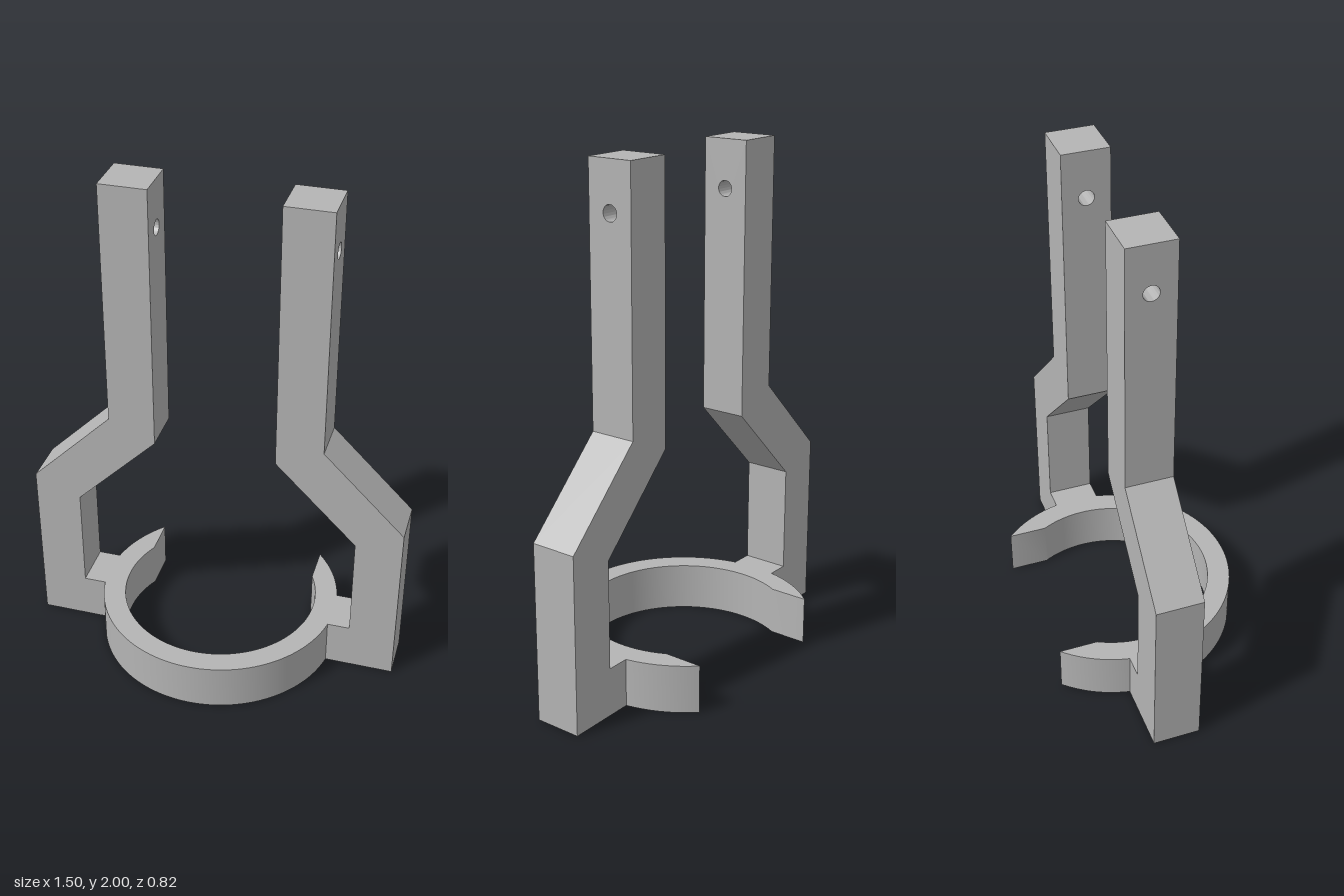
import * as THREE from 'three';
import { toCreasedNormals } from 'three/addons/utils/BufferGeometryUtils.js';

const RING_H = 0.19, OUTER = 0.485, INNER = 0.395, GAP = 0.35; // clamp ring
const ARM_W = 0.185, ARM_IN = 0.24, ARM_OUT = 0.425;           // fork arms
const CENTRE_Z = -0.075;

const extrude = (shape, depth) =>
  new THREE.ExtrudeGeometry(shape, { depth, bevelEnabled: false, curveSegments: 64 });

export function createModel() {
  const model = new THREE.Group();
  model.name = 'forkBracket';
  const grey = new THREE.MeshStandardMaterial({ color: 0xb4b4b4 });
  grey.name = 'plain grey';

  const body = new THREE.Group();
  body.name = 'bracketBody';
  body.position.z = CENTRE_Z;
  model.add(body);

  const add = (parent, name, geometry) => {
    const mesh = new THREE.Mesh(toCreasedNormals(geometry, 0.5), grey);
    mesh.name = name;
    parent.add(mesh);
  };

  // Open ring, its ends cut straight at x = +-GAP on the back
  const a = Math.acos(GAP / OUTER), b = Math.acos(GAP / INNER);
  const ring = new THREE.Shape();
  ring.absarc(0, 0, OUTER, a, Math.PI - a, true);
  ring.absarc(0, 0, INNER, Math.PI - b, b, false);
  add(body, 'clampRing', extrude(ring, RING_H).rotateX(-Math.PI / 2));

  // Cranked lower arm with a foot that runs into the ring
  const lower = new THREE.Shape([
    [0.44, 0], [0.75, 0], [0.75, 0.695], [ARM_OUT, 1.02], [ARM_IN, 1.02],
    [ARM_IN, 0.94], [0.565, 0.615], [0.565, RING_H], [0.44, RING_H],
  ].map(([x, y]) => new THREE.Vector2(x, y)));
  const lowerGeometry = extrude(lower, ARM_W).translate(0, 0, -ARM_W / 2);

  // Straight upper arm, drilled crosswise near the top
  const h = ARM_W / 2;
  const upper = new THREE.Shape([[-h, 1.02], [h, 1.02], [h, 2], [-h, 2]]
    .map(([x, y]) => new THREE.Vector2(x, y)));
  upper.holes.push(new THREE.Path().absarc(0, 1.815, 0.03, 0, Math.PI * 2, true));
  const upperGeometry = extrude(upper, ARM_OUT - ARM_IN)
    .rotateY(Math.PI / 2).translate(ARM_IN, 0, 0);

  // Each arm is symmetric front to back, so a half turn mirrors it
  for (const [name, turn] of [['leftArm', 0], ['rightArm', Math.PI]]) {
    const arm = new THREE.Group();
    arm.name = name;
    arm.rotation.y = turn;
    add(arm, 'lowerArm', lowerGeometry);
    add(arm, 'upperArm', upperGeometry);
    body.add(arm);
  }
  return model;
}
